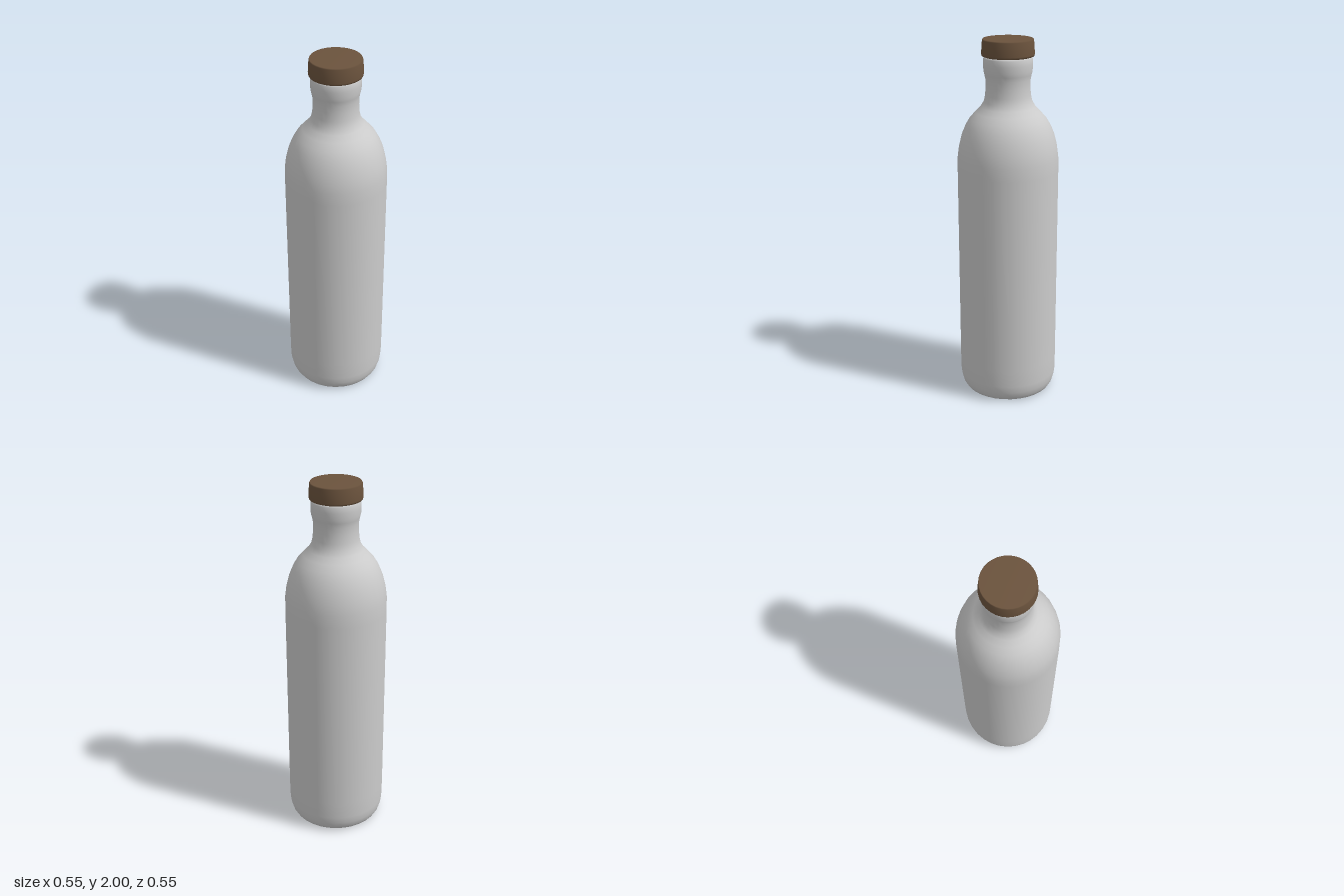
import * as THREE from 'three';

const SIDES = 32;

// Revolves a profile of [radius, height] pairs, listed from bottom to top.
function turned(name, profile, color) {
  const points = profile.map(([r, y]) => new THREE.Vector2(r, y));
  const mesh = new THREE.Mesh(
    new THREE.LatheGeometry(points, SIDES),
    new THREE.MeshStandardMaterial({ color })
  );
  mesh.name = name;
  return mesh;
}

export function createModel() {
  const group = new THREE.Group();
  group.name = 'bottle';

  // Base, straight wall, rounded shoulder, waisted neck and lip
  group.add(turned('bottleBody', [
    [0, 0.005], [0.2, 0.005], [0.225, 0], [0.245, 0.008], [0.259, 0.03], [0.268, 0.06], [0.273, 0.1],
    [0.274, 0.2], [0.274, 1.3], [0.273, 1.37],
    [0.265, 1.43], [0.25, 1.49], [0.229, 1.54], [0.205, 1.58], [0.175, 1.613],
    [0.147, 1.642], [0.13, 1.67], [0.122, 1.705], [0.119, 1.75], [0.12, 1.79],
    [0.125, 1.815], [0.13, 1.835], [0.131, 1.87], [0.13, 1.9],
    [0.122, 1.908], [0.105, 1.915], [0, 1.915],
  ], 0xcccccc));

  // Flat-topped cap, slightly tapered, with softened rims
  group.add(turned('cap', [
    [0, 1.91], [0.13, 1.909], [0.138, 1.912], [0.141, 1.922],
    [0.139, 1.96], [0.136, 1.994], [0.133, 2], [0, 2],
  ], 0x6b533d));

  return group;
}
